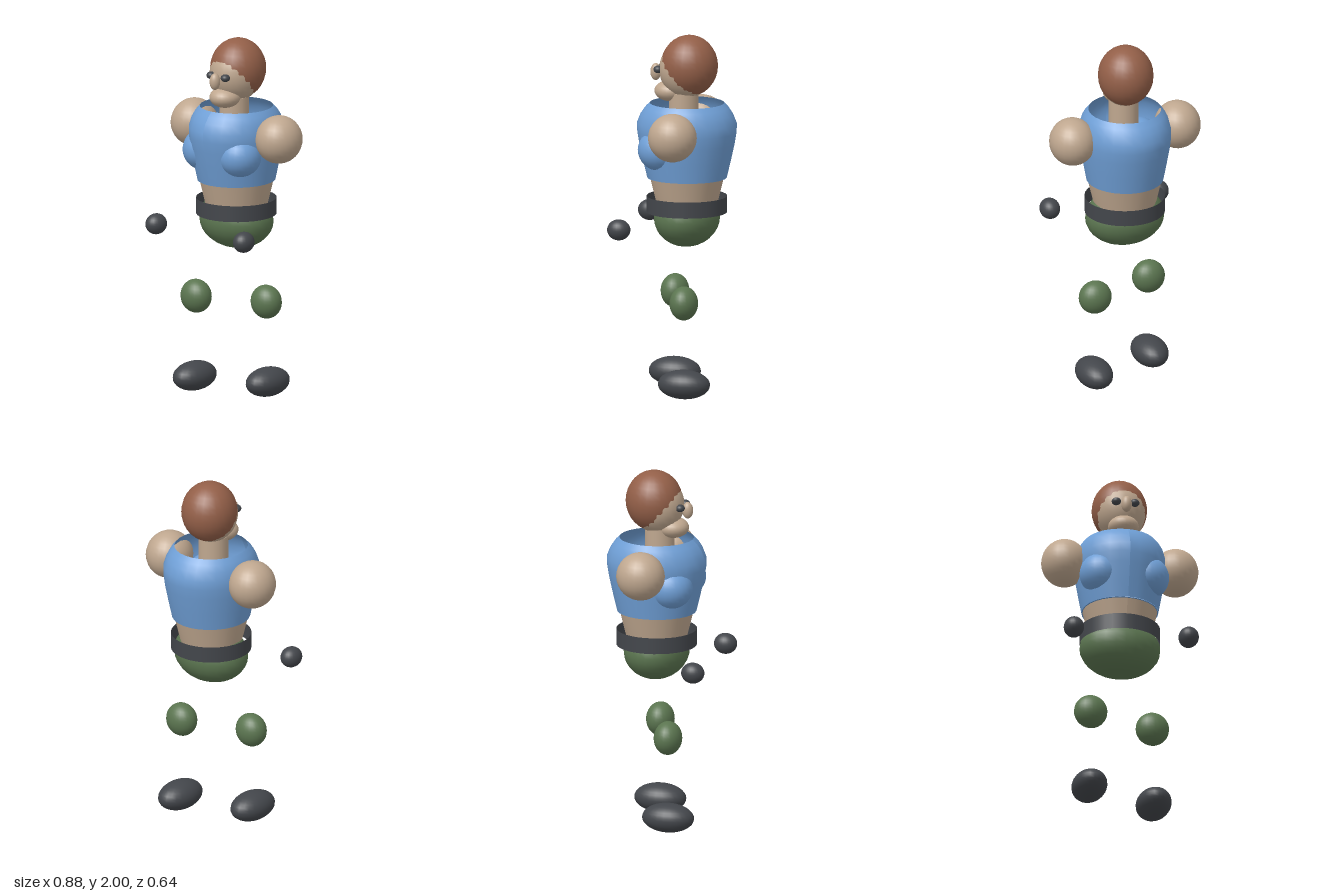
import * as THREE from 'three';

const mat = (name, color, side = THREE.FrontSide) => {
  const m = new THREE.MeshStandardMaterial({ color, side });
  m.name = name;
  return m;
};

export function createModel() {
  const shirt = mat('shirt blue', 0x6f9fd6, THREE.DoubleSide);
  const skin = mat('skin', 0xbfa78f, THREE.DoubleSide);
  const hair = mat('hair brown', 0x935f48);
  const trousers = mat('trouser green', 0x5b7550);
  const dark = mat('dark grey', 0x43464b, THREE.DoubleSide);

  const model = new THREE.Group();
  model.name = 'figure';
  const Z = -0.043; // body axis

  const add = (name, geometry, material, x = 0, y = 0, z = 0) => {
    const mesh = new THREE.Mesh(geometry, material);
    mesh.name = name;
    mesh.position.set(x, y, z);
    model.add(mesh);
    return mesh;
  };
  const ball = (name, material, [x, y, z], [rx, ry, rz]) =>
    add(name, new THREE.SphereGeometry(1, 24, 16), material, x, y, z).scale.set(rx, ry, rz);

  // Oval shell from rows of [y, half width, half depth], bottom to top
  const shell = (name, material, rows) => {
    const g = new THREE.LatheGeometry(rows.map(([y, rx]) => new THREE.Vector2(rx, y)), 28);
    const p = g.attributes.position;
    for (let i = 0; i < p.count; i++) {
      const [, rx, rz] = rows[i % rows.length];
      p.setZ(i, p.getZ(i) * rz / rx);
    }
    g.computeVertexNormals();
    add(name, g, material, 0, 0, Z);
  };

  // Head
  ball('head', skin, [0, 1.81, -0.04], [0.142, 0.16, 0.151]);
  ball('hair', hair, [0, 1.83, -0.057], [0.153, 0.17, 0.158]);
  ball('jaw', skin, [0, 1.685, 0.05], [0.085, 0.058, 0.09]);
  ball('nose', skin, [0, 1.787, 0.135], [0.029, 0.047, 0.03]);
  add('neck', new THREE.CylinderGeometry(0.082, 0.082, 0.2, 24), skin, 0, 1.58, -0.025);

  // Torso: open-necked shirt, bare waist, belt and hips
  shell('shirt', shirt, [
    [1.205, 0.212, 0.22], [1.3, 0.229, 0.243], [1.4, 0.246, 0.265], [1.46, 0.252, 0.275],
    [1.51, 0.252, 0.277], [1.56, 0.239, 0.257], [1.595, 0.222, 0.233], [1.622, 0.2, 0.206],
  ]);
  const floor = add('shirtLining', new THREE.CircleGeometry(0.211, 28), shirt, 0, 1.207, Z);
  floor.rotation.x = -Math.PI / 2;
  shell('waist', skin, [[1.03, 0.165, 0.16], [1.1, 0.182, 0.178], [1.205, 0.206, 0.204]]);
  add('belt', new THREE.CylinderGeometry(0.222, 0.222, 0.09, 32, 1, true), dark, 0, 1.057, Z);
  ball('hips', trousers, [0, 0.982, Z], [0.225, 0.162, 0.179]);

  // Paired parts; the right leg steps forward
  for (const [side, s] of [['left', 1], ['right', -1]]) {
    ball(side + 'Eye', dark, [s * 0.052, 1.81, 0.107], [0.026, 0.021, 0.026]);
    ball(side + 'Chest', shirt, [s * 0.13, 1.375, 0.075], [0.12, 0.118, 0.123]);
    ball(side + 'Shoulder', skin, [s * 0.312, 1.478, -0.045], [0.128, 0.134, 0.135]);
    ball(side + 'Hand', dark, [s * 0.323, 0.952, 0.258], [0.056, 0.058, 0.065]);
    ball(side + 'Knee', trousers, [s * 0.19, 0.533, s * -0.077], [0.093, 0.094, 0.078]);
    ball(side + 'Foot', dark, [s * 0.198, 0.081, s * -0.08], [0.097, 0.081, 0.147]);
  }
  return model;
}
